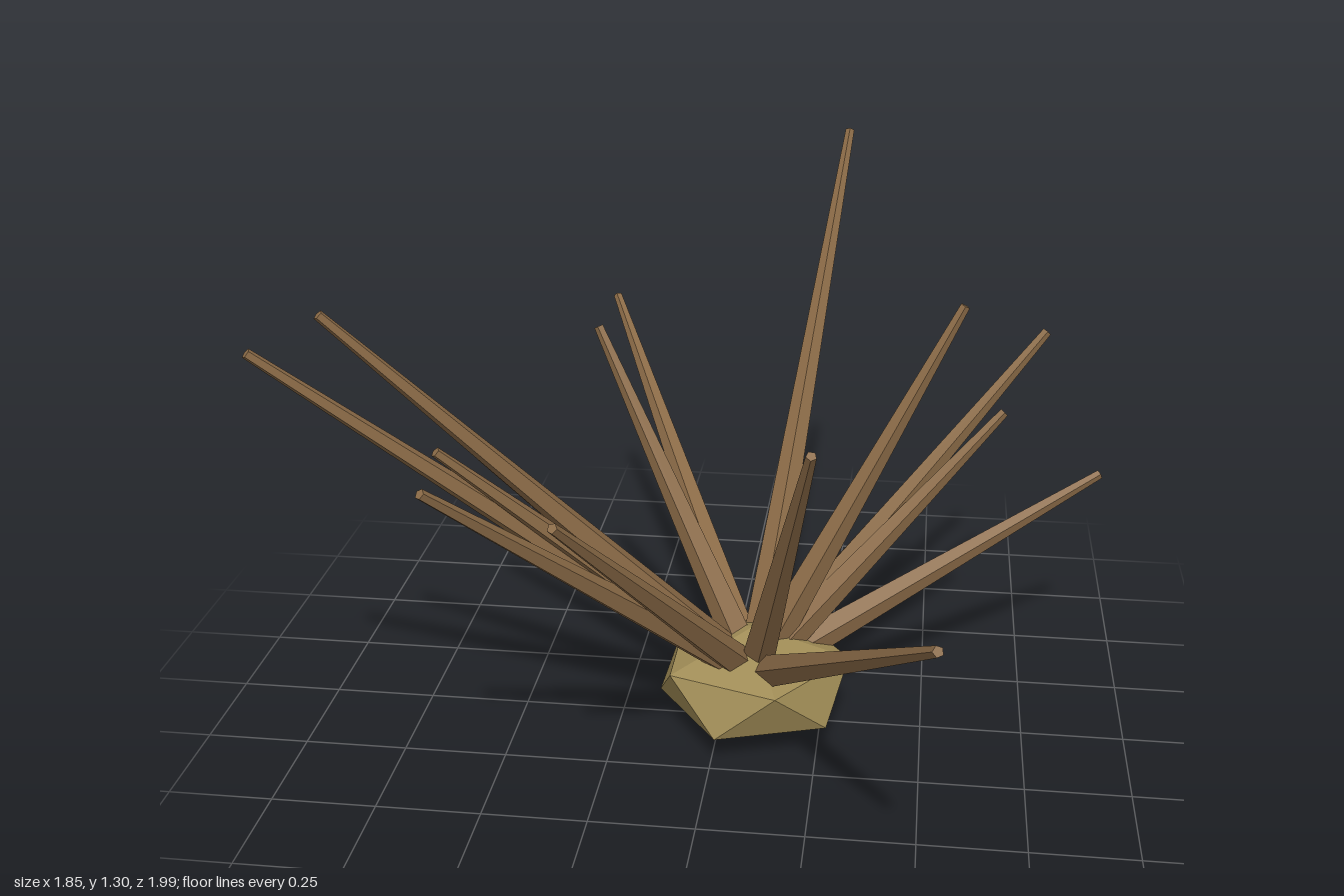
import * as THREE from 'three';
import { ConvexGeometry } from 'three/addons/geometries/ConvexGeometry.js';

const CENTRE = new THREE.Vector3(0.083, 0.14, 0.016);
const UP = new THREE.Vector3(0, 1, 0);

// Tip of every stalk
const TIPS = [
  [-0.92, 1.13, 0.54], [-0.79, 1.19, 0.455], [-0.575, 0.87, 0.405], [-0.515, 0.92, 0.73],
  [-0.25, 0.86, 0.73], [-0.675, 0.54, -0.33], [-0.325, 0.96, -0.2], [0.24, 1.3, -0.895],
  [0.25, 0.975, 0.575], [0.555, 1.07, -0.13], [0.76, 0.95, -0.32], [0.665, 0.78, -0.205],
  [0.515, 0.78, 0.99], [0.67, 0.645, -0.73], [0.92, 0.57, -0.34], [-0.42, 0.78, -0.99],
];

// Squashed twenty-sided lump standing on one corner
function baseGeometry() {
  const radius = 0.235, halfRing = 0.06, halfHeight = 0.134;
  const points = [new THREE.Vector3(0, halfHeight, 0), new THREE.Vector3(0, -halfHeight, 0)];
  for (let i = 0; i < 10; i++) {
    const a = (i * Math.PI) / 5;
    const y = i % 2 ? -halfRing : halfRing;
    points.push(new THREE.Vector3(Math.cos(a) * radius, y, Math.sin(a) * radius));
  }
  return new ConvexGeometry(points);
}

export function createModel() {
  const group = new THREE.Group();
  group.name = 'spikyPlant';

  const baseMaterial = new THREE.MeshStandardMaterial({ color: 0xa08c56, flatShading: true });
  baseMaterial.name = 'olive tan';
  const stalkMaterial = new THREE.MeshStandardMaterial({ color: 0x8b6b47, flatShading: true });
  stalkMaterial.name = 'bark brown';

  const base = new THREE.Mesh(baseGeometry(), baseMaterial);
  base.name = 'base';
  base.position.copy(CENTRE);
  group.add(base);

  // Tapered stalks fanning out from the middle of the base
  const stalks = new THREE.Group();
  stalks.name = 'stalks';
  TIPS.forEach((tip, i) => {
    const direction = new THREE.Vector3(...tip).sub(CENTRE);
    const length = direction.length();
    const geometry = new THREE.CylinderGeometry(0.012, 0.045, length, 5);
    geometry.translate(0, length / 2, 0);
    const stalk = new THREE.Mesh(geometry, stalkMaterial);
    stalk.name = `stalk${i + 1}`;
    stalk.position.copy(CENTRE);
    stalk.quaternion.setFromUnitVectors(UP, direction.normalize());
    stalks.add(stalk);
  });
  group.add(stalks);

  return group;
}
